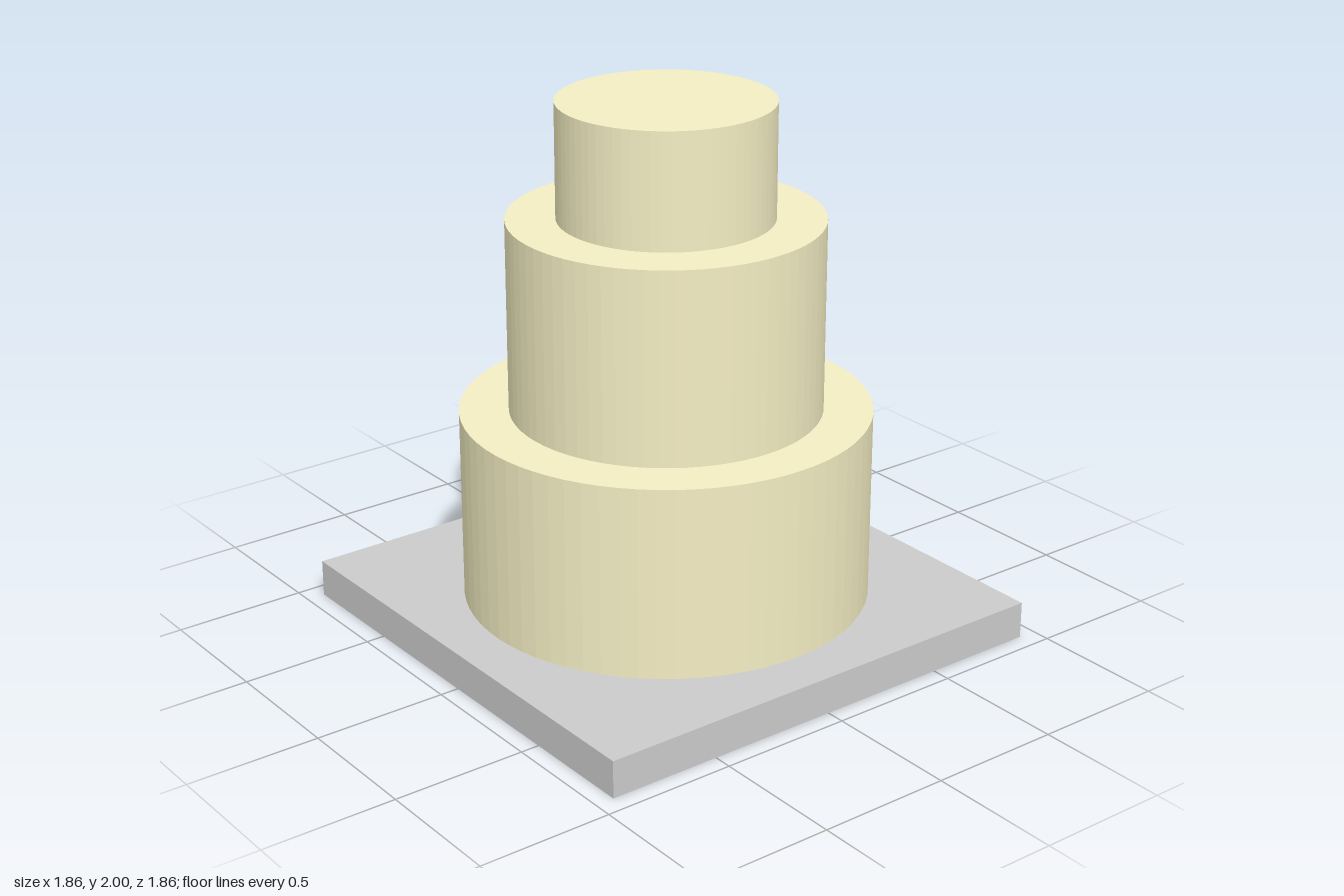
import * as THREE from 'three';

export function createModel() {
  const model = new THREE.Group();
  const boardMaterial = new THREE.MeshStandardMaterial({ color: 0xcccccc });
  const icing = new THREE.MeshStandardMaterial({ color: 0xf4eec3, flatShading: true });

  // Square board under the cake
  const boardHeight = 0.14;
  const board = new THREE.Mesh(new THREE.BoxGeometry(1.86, boardHeight, 1.86), boardMaterial);
  board.name = 'cakeBoard';
  board.position.y = boardHeight / 2;
  model.add(board);

  // Three round tiers, stacked from the board up
  const tiers = [
    { name: 'bottomTier', radius: 0.75, height: 0.717 },
    { name: 'middleTier', radius: 0.57, height: 0.717 },
    { name: 'topTier', radius: 0.39, height: 0.426 },
  ];
  let y = boardHeight;
  for (const { name, radius, height } of tiers) {
    const tier = new THREE.Mesh(new THREE.CylinderGeometry(radius, radius, height, 72), icing);
    tier.name = name;
    tier.position.y = y + height / 2;
    model.add(tier);
    y += height;
  }

  return model;
}
